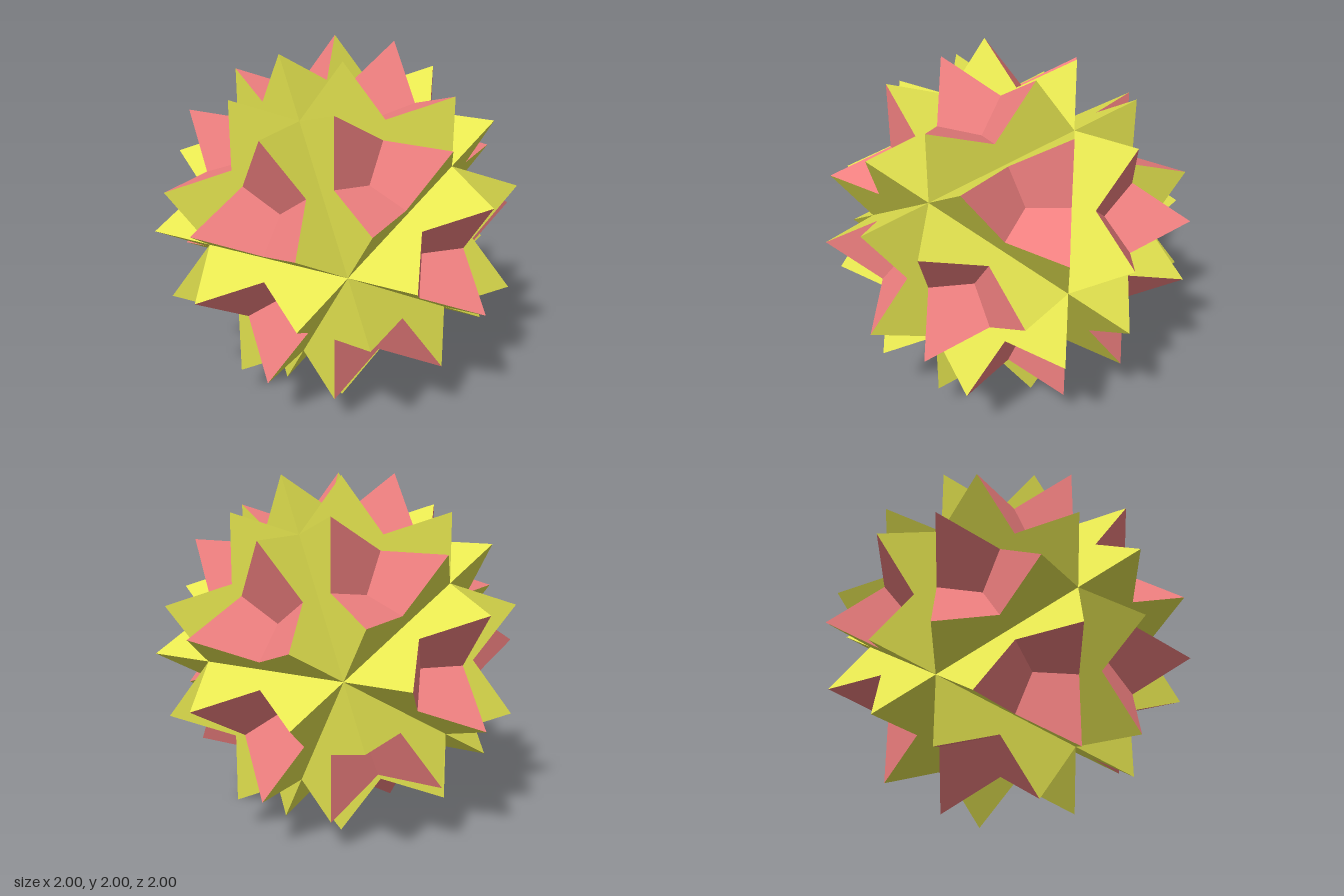
import * as THREE from 'three';

const PHI = (1 + Math.sqrt(5)) / 2;

// All sign changes and cyclic shifts of a coordinate triple
function orbit(a, b, c) {
  const found = new Map();
  for (const sx of [1, -1]) for (const sy of [1, -1]) for (const sz of [1, -1]) {
    const p = [a * sx, b * sy, c * sz];
    for (let k = 0; k < 3; k++) {
      const v = new THREE.Vector3(p[k], p[(k + 1) % 3], p[(k + 2) % 3]);
      found.set(v.toArray().map((n) => Math.round(n * 1000) + 0).join(), v);
    }
  }
  return [...found.values()];
}

// The 60 tips, with the five-fold and three-fold axes of the solid
const tips = [
  ...orbit(1, 2 * PHI ** 2, PHI),
  ...orbit(PHI ** 3, 2 * PHI, PHI),
  ...orbit(2 + PHI, PHI ** 3, 0),
];
const fiveFold = orbit(0, PHI, 1);
const threeFold = [...orbit(1, 1, 1), ...orbit(0, 1 / PHI, PHI)];

// Corners lying on one face plane, in anticlockwise order seen from outside
function cornersOn(axis, offset) {
  const n = axis.clone().normalize();
  const ring = tips.filter((t) => Math.abs(t.dot(axis) - offset) < 1e-3);
  const centre = new THREE.Vector3();
  ring.forEach((t) => centre.addScaledVector(t, 1 / ring.length));
  const u = ring[0].clone().sub(centre).normalize();
  const w = n.clone().cross(u);
  const angle = (t) => {
    const d = t.clone().sub(centre);
    return Math.atan2(d.dot(w), d.dot(u));
  };
  ring.sort((a, b) => angle(a) - angle(b));
  return { ring, centre };
}

// One mesh from all faces of a kind; notch pulls each side's middle inward
function faces(name, axes, offset, notch, color) {
  const points = [];
  for (const axis of axes) {
    const { ring, centre } = cornersOn(axis, offset);
    ring.forEach((a, i) => {
      const b = ring[(i + 1) % ring.length];
      const m = a.clone().add(b).multiplyScalar(0.5).sub(centre).multiplyScalar(notch).add(centre);
      points.push(centre, a, m, centre, m, b);
    });
  }
  const geometry = new THREE.BufferGeometry().setFromPoints(points);
  geometry.scale(1 / (2 * PHI ** 2), 1 / (2 * PHI ** 2), 1 / (2 * PHI ** 2));
  geometry.computeVertexNormals();
  const mesh = new THREE.Mesh(geometry, new THREE.MeshStandardMaterial({
    color, flatShading: true, side: THREE.DoubleSide,
  }));
  mesh.name = name;
  return mesh;
}

export function createModel() {
  const group = new THREE.Group();
  group.name = 'starPolyhedron';
  const deg = Math.PI / 180;
  // Ten-pointed stars, each point joined to the third one along
  const notch = Math.cos(54 * deg) / Math.cos(36 * deg) / Math.cos(18 * deg);
  group.add(faces('tenPointedStars', fiveFold, 2 + PHI, notch, 0xe6e650));
  // Triangles crossing between the stars
  group.add(faces('triangles', threeFold, 3 + PHI, 1, 0xf08080));
  group.position.y = 1;
  return group;
}
